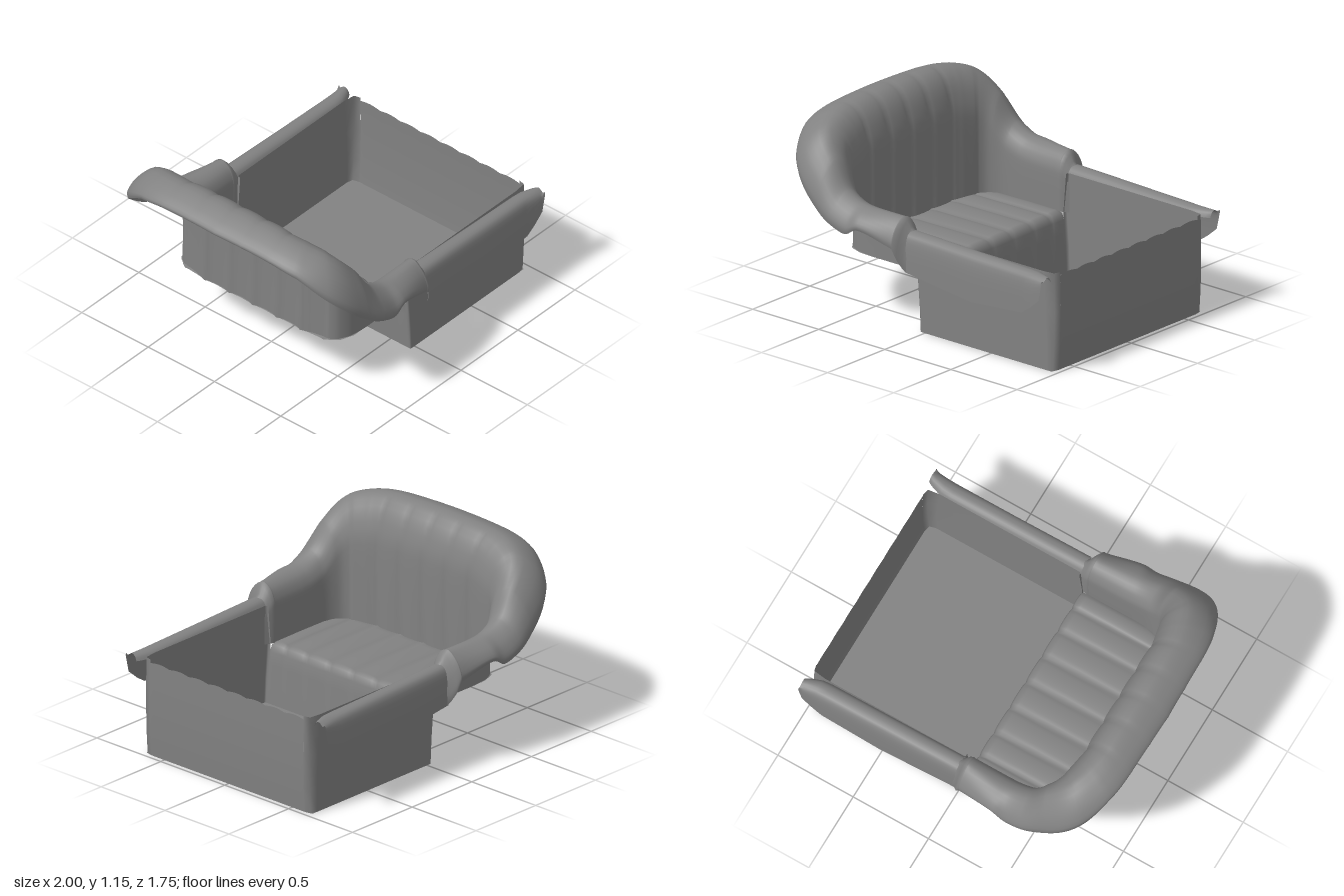
import * as THREE from 'three';

const material = new THREE.MeshStandardMaterial({ color: 0x828282, side: THREE.DoubleSide });
const V = (x, y, z) => new THREE.Vector3(x, y, z);

// Sheet through rows of points, all rows the same length
function sheet(name, rows) {
  const n = rows[0].length, index = [];
  for (let i = 0; i < rows.length - 1; i++) {
    for (let j = 0; j < n - 1; j++) {
      const a = i * n + j, b = a + n;
      index.push(a, b, a + 1, b, b + 1, a + 1);
    }
  }
  const geometry = new THREE.BufferGeometry().setFromPoints(rows.flat());
  geometry.setIndex(index);
  geometry.computeVertexNormals();
  const mesh = new THREE.Mesh(geometry, material);
  mesh.name = name;
  return mesh;
}

// Rounded hook section: up the inside, over the crest, down to the free edge.
// r runs outward, y up
function hook(height, width, edge) {
  const rise = height - 0.36, drop = height - edge;
  return new THREE.SplineCurve([
    [0, 0.36], [0, 0.36 + rise * 0.55], [width * 0.04, height - rise * 0.24],
    [width * 0.2, height - rise * 0.07], [width * 0.5, height],
    [width * 0.83, height - drop * 0.32], [width, height - drop * 0.75], [width * 0.99, edge],
  ].map(([r, y]) => new THREE.Vector2(r, y))).getPoints(21);
}

const flip = (rows) => rows.map((row) => row.map((p) => V(p.x, p.y, -p.z)));

// Padded pleat: flat in the middle, falling steeply to the seams at whole numbers
const padding = (t) => Math.sqrt(Math.abs(Math.sin(Math.PI * t)));

const lerpTable = (table, v) => {
  for (let i = 1; i < table.length; i++) {
    const [a, fa] = table[i - 1], [b, fb] = table[i];
    if (v <= b) return fa + (fb - fa) * (v - a) / (b - a);
  }
  return table[table.length - 1][1];
};

// Half of the backrest, arm front to middle:
// base x, base z, outward angle, crest height, roll width, free edge height
const stations = [
  [-0.10, 0.63, 0, 0.71, 0.20, 0.54],
  [-0.33, 0.63, 0, 0.718, 0.235, 0.605],
  [-0.41, 0.63, 0.02, 0.733, 0.24, 0.565],
  [-0.50, 0.625, 0.1, 0.785, 0.25, 0.595],
  [-0.575, 0.60, 0.3, 0.935, 0.27, 0.67],
  [-0.63, 0.54, 0.8, 1.07, 0.33, 0.86],
  [-0.66, 0.45, 1.15, 1.115, 0.33, 1.0],
  [-0.67, 0.36, 1.45, 1.135, 0.32, 1.04],
  [-0.67, 0.18, 1.53, 1.143, 0.325, 1.05],
  [-0.67, 0.0, Math.PI / 2, 1.145, 0.33, 1.05],
];

function backrestRows() {
  const plan = new THREE.CatmullRomCurve3(stations.map((s) => V(s[0], s[1], s[2])));
  const size = new THREE.CatmullRomCurve3(stations.map((s) => V(s[3], s[4], s[5])));
  const rows = [], steps = 8, last = stations.length - 1;
  for (let k = 0; k <= last * steps; k++) {
    const t = k / steps;
    const b = plan.getPoint(t / last), s = size.getPoint(t / last);
    // One wide pleat at the corner, then one per station
    let pleat = 0;
    if (t > 5) pleat = t < 7 ? padding((t - 5) / 2) : padding(t);
    const section = hook(s.x, s.y, s.z);
    rows.push(section.map((p, j) => {
      const fade = 1 - j / (section.length - 1);
      const r = p.x - 0.016 * pleat * fade;
      const y = p.y + (j > 9 ? 0.012 * pleat * fade : 0);
      return V(b.x - Math.sin(b.z) * r, y, b.y + Math.cos(b.z) * r);
    }));
  }
  return rows;
}

// Step down from the arm to the rail
function collarRows() {
  return [
    [-0.10, 0.63, 0.71, 0.20, 0.54], [-0.09, 0.627, 0.712, 0.207, 0.53],
    [-0.07, 0.632, 0.69, 0.185, 0.47], [-0.05, 0.642, 0.65, 0.15, 0.42],
    [-0.03, 0.65, 0.632, 0.13, 0.4],
  ].map(([x, z, h, w, e]) => hook(h, w, e).map((p) => V(x, p.y, z + p.x)));
}

// Rail with hanging flap: x, inner z, top height, flap edge height
function railRows() {
  return [
    [-0.04, 0.65, 0.635, 0.40], [0.2, 0.65, 0.628, 0.37], [0.46, 0.65, 0.62, 0.34],
    [0.84, 0.65, 0.611, 0.37], [0.9, 0.655, 0.61, 0.41], [0.97, 0.68, 0.607, 0.47], [0.995, 0.695, 0.605, 0.58],
  ].map(([x, z, top, edge]) => {
    const w = 0.78 - z;
    return new THREE.SplineCurve([
      [z, top - 0.04], [z + w * 0.15, top - 0.012], [z + w * 0.45, top],
      [z + w * 0.8, top - 0.02], [z + w * 0.94, top - (top - edge) * 0.4], [z + w, edge],
    ].map(([r, y]) => new THREE.Vector2(r, y))).getPoints(15).map((p) => V(x, p.y, p.x));
  });
}

// Pleated seat that rolls over its front edge and drops to the floor
function seatRows() {
  const seams = [0, 0.18, 0.36, 0.52, 0.63], rows = [];
  const backEdge = [[0, -0.67], [0.36, -0.67], [0.45, -0.665], [0.54, -0.65], [0.6, -0.605], [0.63, -0.51]];
  for (let i = 0; i < seams.length - 1; i++) {
    for (let k = i ? 1 : 0; k <= 8; k++) {
      const z = seams[i] + (seams[i + 1] - seams[i]) * k / 8;
      const p = padding(k / 8), back = lerpTable(backEdge, z);
      rows.push([
        V(back + 0.01 * p, 0.362, z), V(back + 0.06, 0.362 + 0.012 * p, z),
        V(-0.3, 0.362 + 0.016 * p, z), V(-0.1, 0.362 + 0.014 * p, z),
        V(-0.07 + 0.006 * p, 0.355 + 0.008 * p, z), V(-0.056 + 0.008 * p, 0.32, z),
        V(-0.05 + 0.006 * p, 0.24, z), V(-0.042, 0.15, z), V(-0.035, 0, z),
      ]);
    }
  }
  return rows;
}

// Wall at the far end with a softly scalloped top
function endWallRows() {
  const rows = [];
  for (let i = 0; i <= 48; i++) {
    const z = -0.6 + i * 0.025;
    const top = 0.578 + 0.01 * Math.abs(Math.sin(Math.PI * i / 6));
    rows.push([V(0.97, 0, z), V(0.98, 0.15, z), V(0.985, 0.4, z), V(0.98, top, z)]);
  }
  return rows;
}

// Side wall of the footwell, with a small chamfer into the end wall
function sideWallRows() {
  return [0, 0.15, 0.36, 0.6].map((y) => {
    const front = lerpTable([[0, 0.97], [0.15, 0.98], [0.4, 0.985], [0.6, 0.98]], y);
    const rear = lerpTable([[0, -0.035], [0.3, -0.05], [0.36, -0.06], [0.6, -0.04]], y);
    return [
      V(rear, y, 0.63), V(rear, y, 0.645), V(rear + 0.01, y, 0.65), V(0.46, y, 0.65),
      V(front - 0.05 - y * 0.06, y, 0.65), V(front - 0.01, y, 0.64), V(front, y, 0.6),
    ];
  });
}

export function createModel() {
  const group = new THREE.Group();
  group.name = 'sidecarSeat';

  const half = backrestRows();
  group.add(sheet('backrestAndArms', [...half, ...flip(half).reverse().slice(1)]));

  const seat = seatRows();
  group.add(sheet('seat', [...flip(seat).reverse(), ...seat.slice(1)]));

  for (const [side, f] of [['right', (r) => r], ['left', (r) => flip(r).reverse()]]) {
    group.add(sheet(side + 'Collar', f(collarRows())));
    group.add(sheet(side + 'Rail', f(railRows())));
    group.add(sheet(side + 'FootwellWall', f(sideWallRows())));
  }

  group.add(sheet('footwellEndWall', endWallRows()));
  group.add(sheet('footwellFloor', [
    [V(-0.035, 0, -0.65), V(-0.035, 0, 0.65)],
    [V(0.96, 0, -0.65), V(0.96, 0, 0.65)],
    [V(0.97, 0, -0.6), V(0.97, 0, 0.6)],
  ]));
  return group;
}
